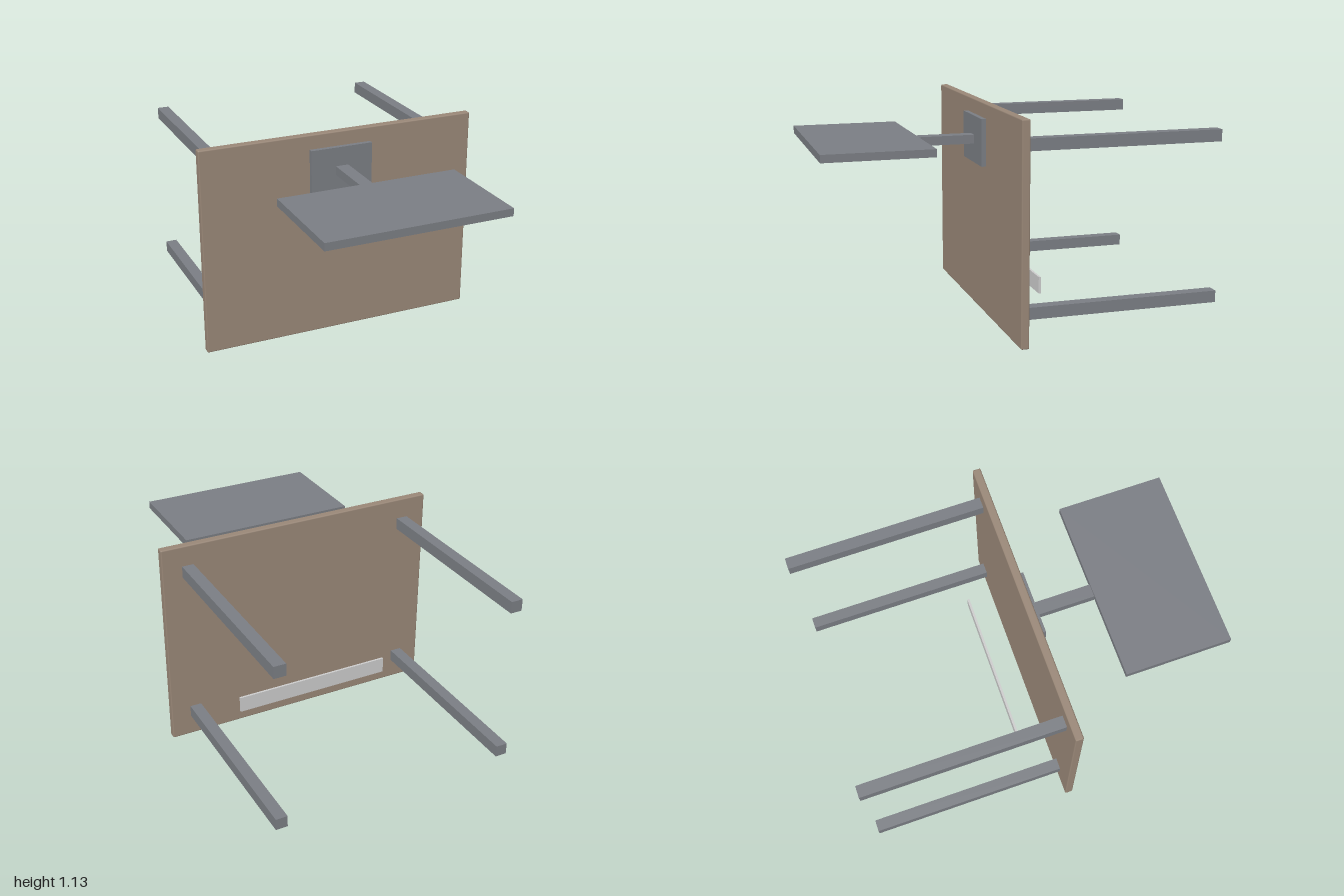
import * as THREE from 'three';
import { RoundedBoxGeometry } from 'three/addons/geometries/RoundedBoxGeometry.js';

export function createModel() {
  const model = new THREE.Group();
  model.name = 'tippedDesk';

  const wood = new THREE.MeshStandardMaterial({ color: 0x998777 });
  const darkMetal = new THREE.MeshStandardMaterial({ color: 0x7a7d83 });
  const grey = new THREE.MeshStandardMaterial({ color: 0xcccccc });

  const add = (name, geometry, material, x, y, z) => {
    const mesh = new THREE.Mesh(geometry, material);
    mesh.name = name;
    mesh.position.set(x, y, z);
    model.add(mesh);
    return mesh;
  };

  // Box given by its lower and upper corners
  const addBox = (name, material, [x0, y0, z0], [x1, y1, z1]) =>
    add(name, new THREE.BoxGeometry(x1 - x0, y1 - y0, z1 - z0), material,
      (x0 + x1) / 2, (y0 + y1) / 2, (z0 + z1) / 2);

  // Desk lies on its long edge, so the worktop stands upright facing +z
  add('worktop', new RoundedBoxGeometry(1.53, 1.13, 0.043, 1, 0.007), wood, 0, 0.565, 0.0735);

  // Four square legs, let into the worktop and pointing backwards
  for (const [side, sx] of [['left', 1], ['right', -1]]) {
    for (const [level, y] of [['Upper', 0.99], ['Lower', 0.145]]) {
      addBox(`${side}${level}Leg`, darkMetal,
        [sx * 0.627 - 0.031, y - 0.031, -1], [sx * 0.627 + 0.031, y + 0.031, 0.093]);
    }
  }

  // Monitor: foot plate, neck and screen
  addBox('monitorFoot', darkMetal, [-0.172, 0.802, 0.094], [0.17, 1.052, 0.12]);
  addBox('monitorNeck', darkMetal, [-0.036, 0.903, 0.115], [0.034, 0.95, 0.436]);
  addBox('monitorScreen', darkMetal, [-0.487, 0.922, 0.435], [0.484, 0.962, 1]);

  // Keyboard on the underside of the worktop
  addBox('keyboard', grey, [-0.44, 0.175, -0.119], [0.437, 0.262, -0.107]);

  return model;
}
